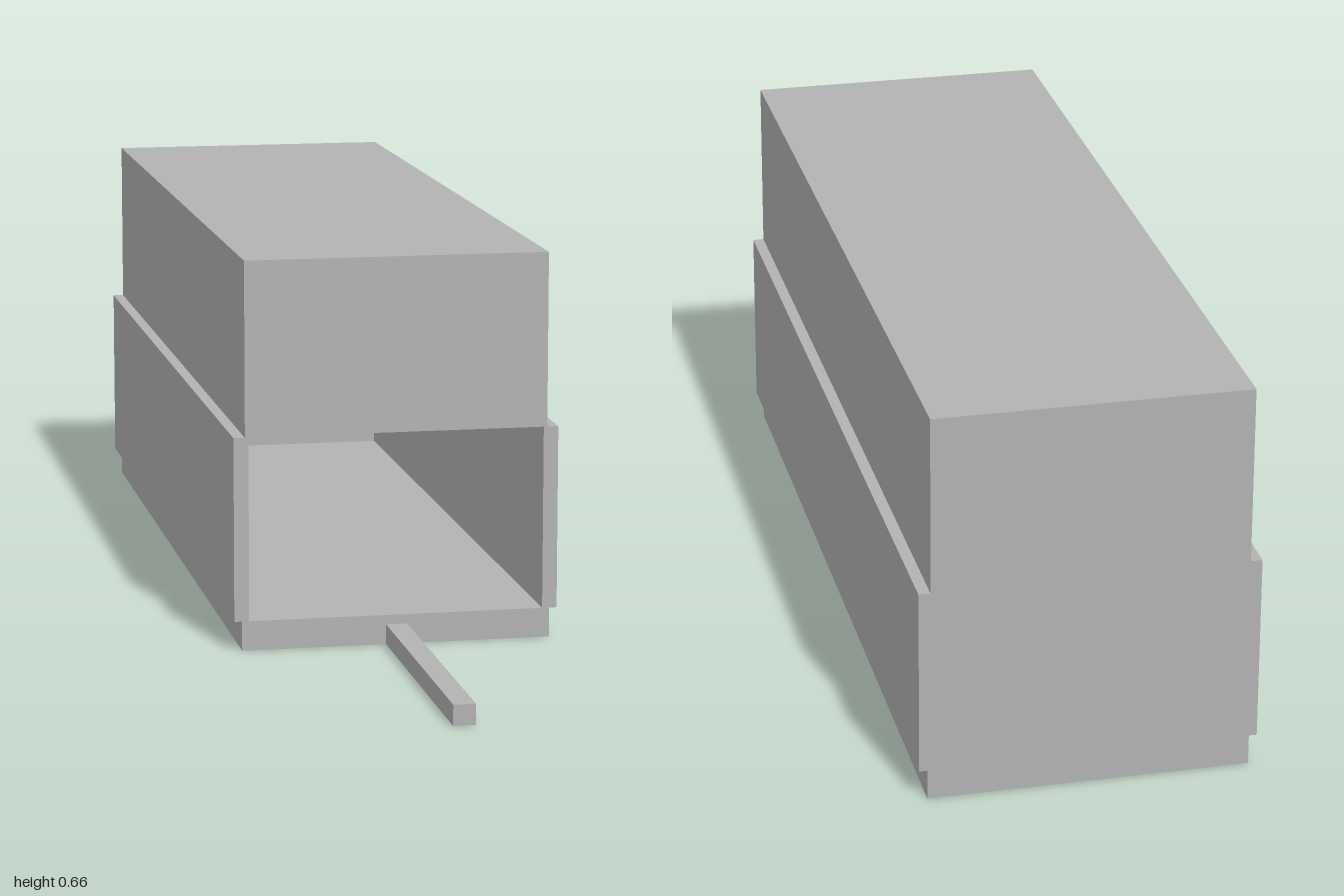
import * as THREE from 'three';

const grey = new THREE.MeshStandardMaterial({ color: 0xb2b2b2 });
grey.name = 'plain grey';

// Box given by its lower and upper limits on each axis
function block(name, [x0, x1], [y0, y1], [z0, z1]) {
  const mesh = new THREE.Mesh(new THREE.BoxGeometry(x1 - x0, y1 - y0, z1 - z0), grey);
  mesh.position.set((x0 + x1) / 2, (y0 + y1) / 2, (z0 + z1) / 2);
  mesh.name = name;
  return mesh;
}

export function createModel() {
  const model = new THREE.Group();
  model.name = 'openFrontedBox';

  const body = [-1, 0.475];
  const wallY = [0.05, 0.361];

  // Floor slab and thick upper block
  model.add(block('base', [-0.262, 0.262], [0, 0.05], body));
  model.add(block('upperBlock', [-0.256, 0.256], [0.361, 0.656], body));

  // Side walls, slightly proud of base and top
  model.add(block('leftWall', [0.25, 0.275], wallY, body));
  model.add(block('rightWall', [-0.275, -0.25], wallY, body));

  // Closed back end of the compartment
  model.add(block('backWall', [-0.25, 0.25], wallY, [-1, -0.975]));

  // Thin bar reaching out of the front
  model.add(block('frontBar', [-0.018, 0.018], [0, 0.034], [0.475, 1]));

  return model;
}
